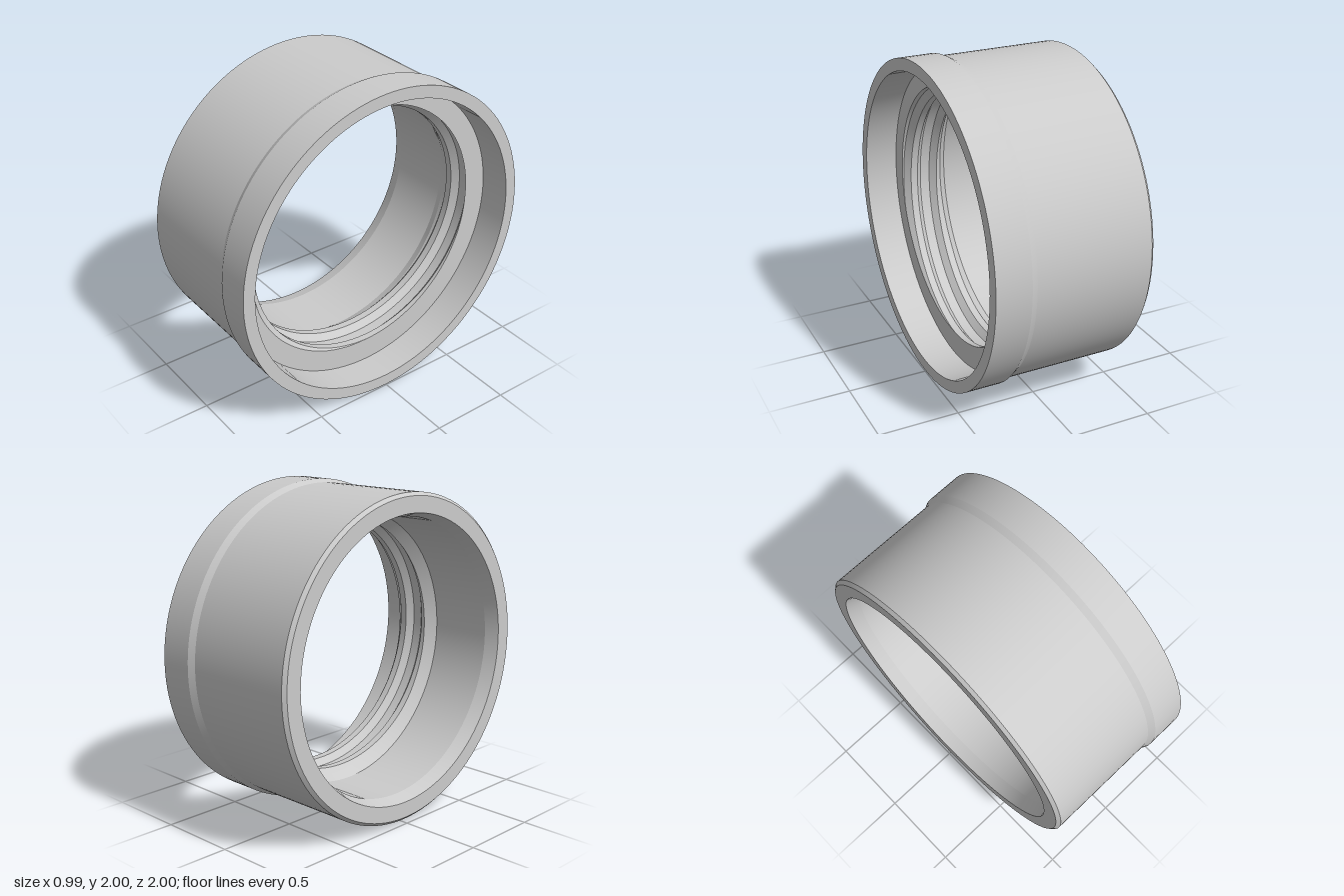
import * as THREE from 'three';
import { toCreasedNormals } from 'three/addons/utils/BufferGeometryUtils.js';

const SEG = 128;
const BORE = 0.835;                     // plain bore radius
const CREST = 0.773, ROOT = 0.812;      // thread radii
const XB = -0.015, X0 = 0.04, X1 = 0.29; // bore end, thread start, shoulder
const PITCH = 0.18;
const PHASE = 0.75;                     // angular start of the thread
const KNOTS = [0, 0.25, 0.45, 0.8];     // crest, ramp out, root, ramp in

// Trapezoidal thread radius at axial position x and turn t (0..1)
function threadRadius(x, t) {
  let p = (x - X1) / PITCH - t + PHASE;
  p -= Math.floor(p + 1e-9);
  const [, a, b, c] = KNOTS;
  if (p <= a) return CREST;
  if (p <= b) return THREE.MathUtils.lerp(CREST, ROOT, (p - a) / (b - a));
  if (p <= c) return ROOT;
  return THREE.MathUtils.lerp(ROOT, CREST, (p - c) / (1 - c));
}

// Helical inner surface, clamped between the lead-in cone and the shoulder
function threadGeometry() {
  const rows = [() => [XB, BORE]];
  for (let k = -4; k <= 1; k++) {
    for (const f of KNOTS) {
      rows.push((t) => {
        const x = THREE.MathUtils.clamp(X1 + PITCH * (k + f + t - PHASE), X0, X1);
        return [x, threadRadius(x, t)];
      });
    }
  }
  rows.push(() => [X1, 0.925]);

  const pos = [], index = [];
  rows.forEach((row, i) => {
    for (let j = 0; j <= SEG; j++) {
      const t = j / SEG, a = t * Math.PI * 2;
      const [x, r] = row(t);
      pos.push(x, r * Math.cos(a), r * Math.sin(a));
      if (i < rows.length - 1 && j < SEG) {
        const n = SEG + 1, p = i * n + j;
        index.push(p, p + n, p + 1, p + 1, p + n, p + n + 1);
      }
    }
  });
  const g = new THREE.BufferGeometry();
  g.setAttribute('position', new THREE.Float32BufferAttribute(pos, 3));
  g.setIndex(index);
  return g;
}

// Sleeve profile as [radius, axial position]: bore, back face, outside, rim, counterbore
function sleeveGeometry() {
  const profile = [
    [BORE, XB], [BORE, -0.41], [0.862, -0.495], [0.96, -0.495], [0.98, -0.475],
    [0.98, 0.24], [1, 0.28], [1, 0.495], [0.925, 0.495], [0.925, X1],
  ].map(([r, x]) => new THREE.Vector2(r, x));
  return new THREE.LatheGeometry(profile, SEG).rotateZ(-Math.PI / 2);
}

export function createModel() {
  const group = new THREE.Group();
  group.name = 'threadedSleeve';
  const material = new THREE.MeshStandardMaterial({ color: 0xcccccc });
  const add = (name, geometry) => {
    const mesh = new THREE.Mesh(toCreasedNormals(geometry, 0.25), material);
    mesh.name = name;
    mesh.position.y = 1;
    group.add(mesh);
  };
  add('sleeve', sleeveGeometry());
  add('innerThread', threadGeometry());
  return group;
}
